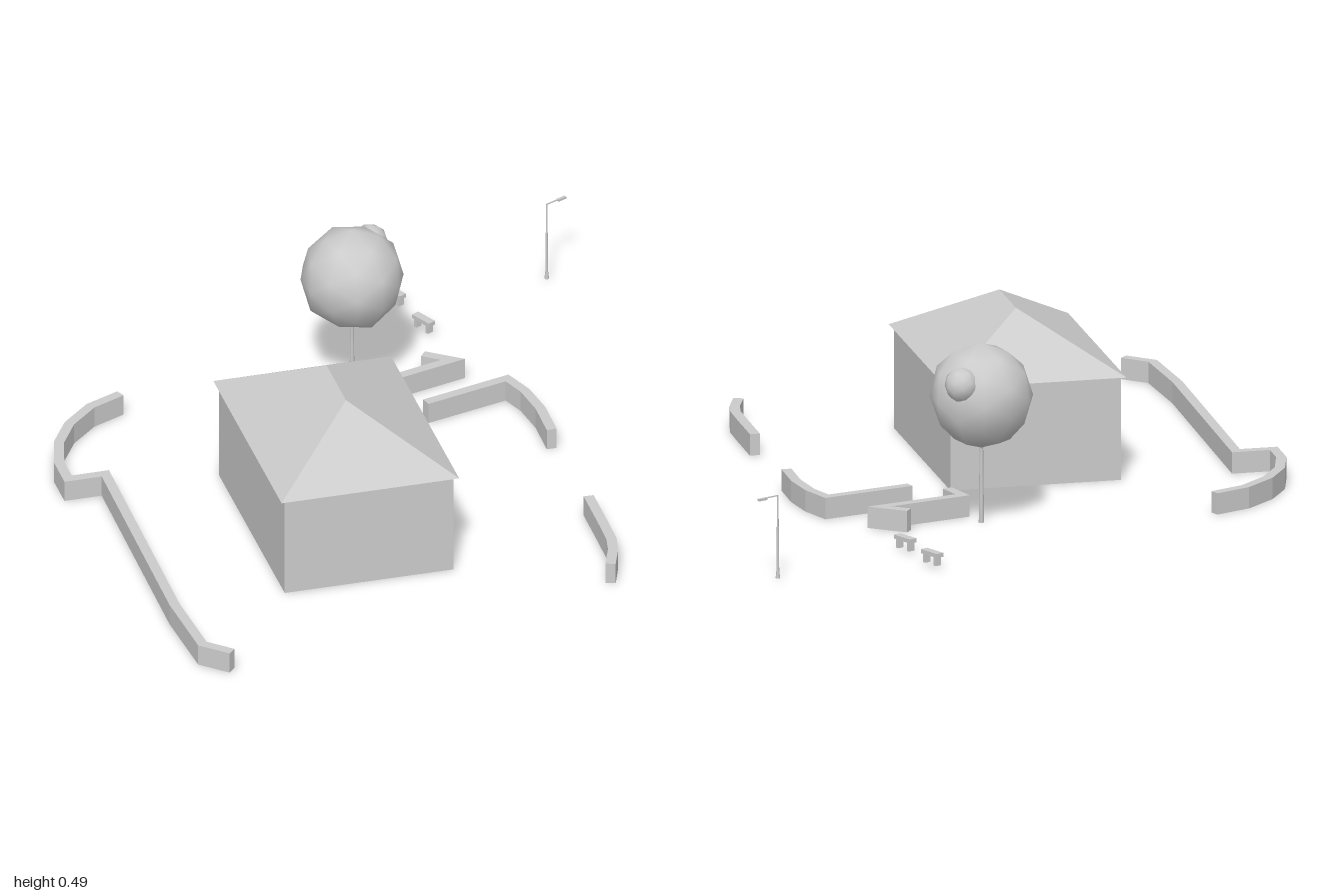
import * as THREE from 'three';
import { mergeVertices } from 'three/addons/utils/BufferGeometryUtils.js';

const grey = new THREE.MeshStandardMaterial({ color: 0xcccccc });
const thin = new THREE.MeshStandardMaterial({ color: 0xcccccc, side: THREE.DoubleSide, flatShading: true });

function add(parent, name, geometry, material = grey, x = 0, y = 0, z = 0) {
  const mesh = new THREE.Mesh(geometry, material);
  mesh.name = name;
  mesh.position.set(x, y, z);
  parent.add(mesh);
  return mesh;
}

function group(parent, name, x, z, angle = 0) {
  const g = new THREE.Group();
  g.name = name;
  g.position.set(x, 0, z);
  g.rotation.y = angle;
  parent.add(g);
  return g;
}

// Low wall: a mitred ribbon along a ground path of [x, z], extruded upwards
function gardenWall(path, width = 0.027, height = 0.058) {
  const pts = path.map(([x, z]) => new THREE.Vector2(x, -z));
  const left = [], right = [];
  pts.forEach((p, i) => {
    const a = pts[Math.max(i - 1, 0)], b = pts[Math.min(i + 1, pts.length - 1)];
    const d1 = (i ? p.clone().sub(a) : b.clone().sub(p)).normalize();
    const d2 = (i < pts.length - 1 ? b.clone().sub(p) : d1.clone()).normalize();
    const n1 = new THREE.Vector2(-d1.y, d1.x), n2 = new THREE.Vector2(-d2.y, d2.x);
    const m = n1.clone().add(n2).normalize();
    m.multiplyScalar(width / 2 / m.dot(n1));
    left.push(p.clone().add(m));
    right.unshift(p.clone().sub(m));
  });
  const geo = new THREE.ExtrudeGeometry(new THREE.Shape([...left, ...right]), { depth: height, bevelEnabled: false });
  return geo.rotateX(-Math.PI / 2);
}

// Hip roof from four eave corners and two ridge ends
function hipRoof(w, l, ridge, y0, y1) {
  const x = w / 2, z = l / 2, r = ridge / 2;
  const geo = new THREE.BufferGeometry();
  geo.setAttribute('position', new THREE.Float32BufferAttribute([
    -x, y0, -z, x, y0, -z, x, y0, z, -x, y0, z, 0, y1, -r, 0, y1, r], 3));
  geo.setIndex([3, 2, 5, 1, 0, 4, 2, 1, 4, 2, 4, 5, 0, 3, 5, 0, 5, 4]);
  const flat = geo.toNonIndexed();
  flat.computeVertexNormals();
  return flat;
}

// Smooth faceted ball with a slight uneven outline
function foliage(radius, wobble) {
  let geo = new THREE.IcosahedronGeometry(radius, 1);
  geo.deleteAttribute('uv');
  geo.deleteAttribute('normal');
  geo = mergeVertices(geo, 1e-4);
  const p = geo.attributes.position;
  for (let i = 0; i < p.count; i++) {
    const s = 1 + wobble * Math.sin(i * 2.4);
    p.setXYZ(i, p.getX(i) * s, p.getY(i) * s, p.getZ(i) * s);
  }
  geo.computeVertexNormals();
  return geo;
}

export function createModel() {
  const model = new THREE.Group();
  model.name = 'houseAndGarden';

  // House: four walls without a floor, and a hip roof with a small overhang
  const house = group(model, 'house', -0.016, 0.246, 0.163);
  const w = 0.459, l = 0.639, h = 0.28;
  for (const s of [-1, 1]) {
    const end = add(house, 'endWall', new THREE.PlaneGeometry(w, h), thin, 0, h / 2, s * l / 2);
    const side = add(house, 'sideWall', new THREE.PlaneGeometry(l, h), thin, s * w / 2, h / 2, 0);
    end.rotation.y = s > 0 ? 0 : Math.PI;
    side.rotation.y = s * Math.PI / 2;
  }
  add(house, 'roof', hipRoof(0.483, 0.664, 0.188, h, 0.422), thin);

  // Low garden walls
  const walls = {
    leftWall: [[-0.515, -0.386], [-0.6, -0.33], [-0.665, -0.245], [-0.703, -0.15], [-0.714, -0.045], [-0.7, 0.042],
      [-0.6, 0.025], [-0.495, 0.725], [-0.445, 0.937], [-0.372, 0.985]],
    rightWall: [[0.645, 0.28], [0.667, 0.42], [0.68, 0.51], [0.678, 0.565], [0.663, 0.64]],
    backRightWall: [[0.275, -0.255], [0.5, -0.355], [0.54, -0.285], [0.57, -0.19], [0.587, -0.075]],
    backWall: [[0.295, -0.505], [0.37, -0.467], [0.145, -0.365], [0.18, -0.295]],
  };
  for (const [name, path] of Object.entries(walls)) add(model, name, gardenWall(path));

  // Tree: trunk, forked twigs, round crown with a lump
  const tree = group(model, 'tree', 0.1, -0.43);
  add(tree, 'trunk', new THREE.CylinderGeometry(0.004, 0.007, 0.28, 8), grey, 0, 0.14, 0);
  for (let i = 0; i < 3; i++) {
    const a = i * 2.1, dir = new THREE.Vector3(Math.cos(a), 1.2, Math.sin(a)).multiplyScalar(0.06);
    const base = new THREE.Vector3(0, 0.2, 0);
    add(tree, 'branch', new THREE.TubeGeometry(new THREE.LineCurve3(base, base.clone().add(dir)), 1, 0.003, 5));
  }
  add(tree, 'crown', foliage(0.139, 0.025), grey, 0, 0.345, -0.002);
  add(tree, 'crownLump', foliage(0.046, 0.03), grey, 0.058, 0.398, -0.092);

  // Two benches
  for (const [x, z] of [[0.26, -0.867], [0.32, -0.717]]) {
    const bench = group(model, 'bench', x, z, -0.95);
    add(bench, 'seat', new THREE.BoxGeometry(0.066, 0.011, 0.022), grey, 0, 0.038, 0);
    for (const s of [-1, 1]) add(bench, 'benchLeg', new THREE.BoxGeometry(0.009, 0.024, 0.018), grey, s * 0.022, 0.021, 0);
  }

  // Street lamp: foot, thick lower pole, thin upper pole, arm and head
  const lamp = group(model, 'streetLamp', 0.671, -0.957, 0.6);
  add(lamp, 'lampFoot', new THREE.CylinderGeometry(0.004, 0.006, 0.02, 8), grey, 0, 0.012, 0);
  add(lamp, 'lowerPole', new THREE.CylinderGeometry(0.003, 0.0038, 0.13, 8), grey, 0, 0.075, 0);
  add(lamp, 'upperPole', new THREE.CylinderGeometry(0.002, 0.0025, 0.09, 8), grey, 0, 0.182, 0);
  add(lamp, 'arm', new THREE.BoxGeometry(0.045, 0.003, 0.003), grey, 0.021, 0.226, 0);
  add(lamp, 'lampHead', new THREE.BoxGeometry(0.026, 0.006, 0.008), grey, 0.051, 0.224, 0);

  return model;
}
